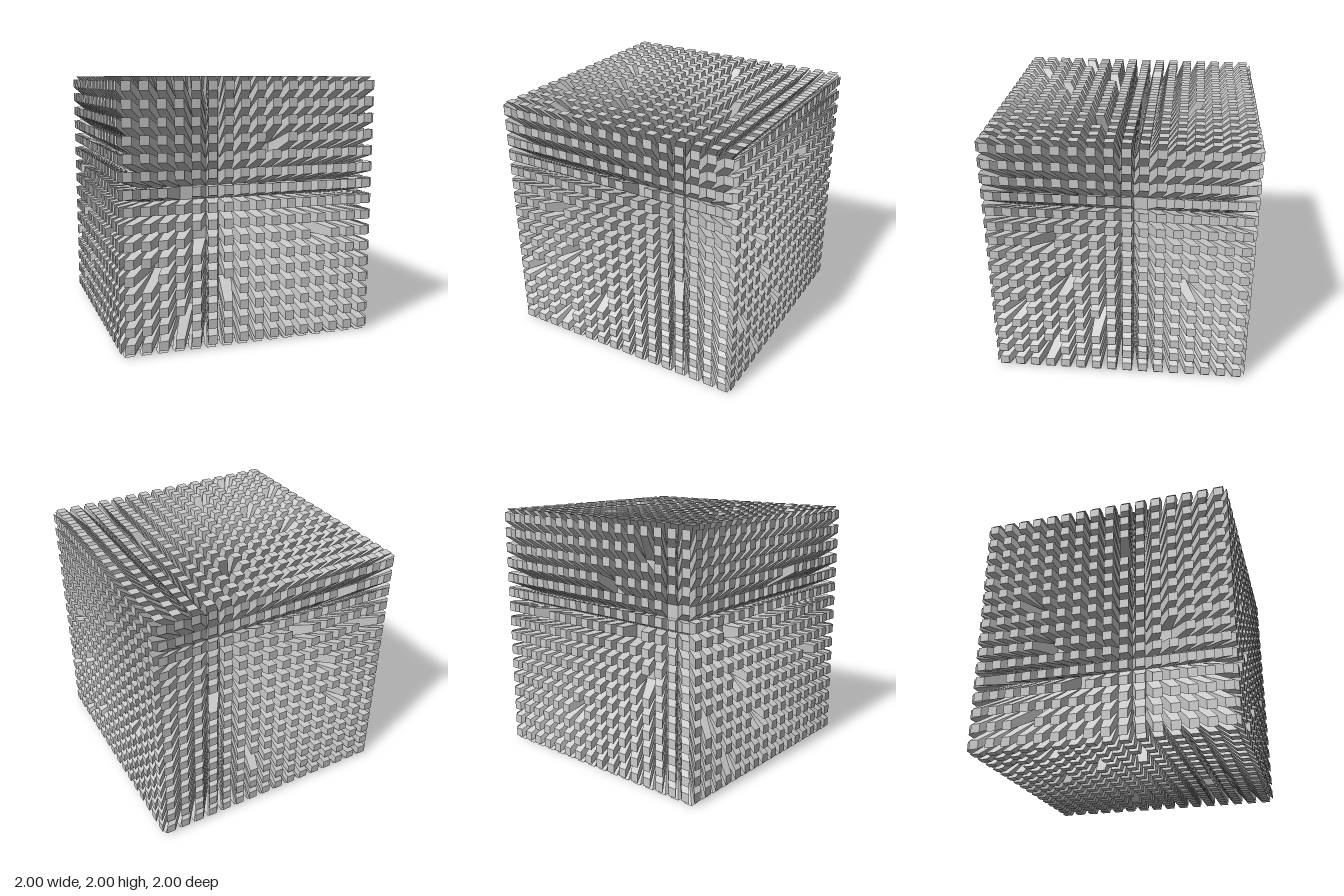
import * as THREE from 'three';
import { mergeGeometries } from 'three/addons/utils/BufferGeometryUtils.js';

const N = 16;        // posts per row
const CORE = 0.8;    // half size of the inner cube
const CELL = 0.1;    // width of a post at its foot
const CAP = 0.07;    // width of a post at its tip
const FLARE = 1 / CORE; // tips spread outward by this factor

// Cells (column, row from lower left) that carry no post
const EMPTY = new Set(['9,12', '3,9', '4,6', '12,6', '6,3', '1,4', '3,1']);

// A leaning, tapering post from a core cell to the outer cube
function postGeometry(cx, cy) {
  const geo = new THREE.BoxGeometry(1, 1, 1);
  const p = geo.attributes.position;
  for (let i = 0; i < p.count; i++) {
    const tip = p.getZ(i) > 0;
    const width = tip ? CAP : CELL;
    const spread = tip ? FLARE : 1;
    p.setXYZ(i, cx * spread + p.getX(i) * width, cy * spread + p.getY(i) * width, tip ? 1 : CORE);
  }
  return geo;
}

// One side of the cube, facing +z
function sideGeometry() {
  const posts = [];
  for (let i = 0; i < N; i++) {
    for (let j = 0; j < N; j++) {
      if (EMPTY.has(`${i},${j}`)) continue;
      posts.push(postGeometry((i + 0.5) * CELL - CORE, (j + 0.5) * CELL - CORE));
    }
  }
  const flat = mergeGeometries(posts).toNonIndexed();
  flat.computeVertexNormals();
  return flat;
}

export function createModel() {
  const model = new THREE.Group();
  model.name = 'studdedCube';
  const material = new THREE.MeshStandardMaterial({ color: 0xcccccc, flatShading: true });

  // Inner cube
  const core = new THREE.Mesh(new THREE.BoxGeometry(2 * CORE, 2 * CORE, 2 * CORE), material);
  core.name = 'core';
  core.position.y = 1;
  model.add(core);

  // Six sides of posts, all turned copies of one
  const geometry = sideGeometry();
  const q = Math.PI / 2;
  const sides = [
    ['frontPosts', 0, 0],
    ['topPosts', -q, 0],
    ['backPosts', 2 * q, 0],
    ['bottomPosts', q, 0],
    ['leftPosts', 0, q],
    ['rightPosts', 0, -q],
  ];
  for (const [name, rx, ry] of sides) {
    const side = new THREE.Mesh(geometry, material);
    side.name = name;
    side.rotation.set(rx, ry, 0);
    side.position.y = 1;
    model.add(side);
  }
  return model;
}
